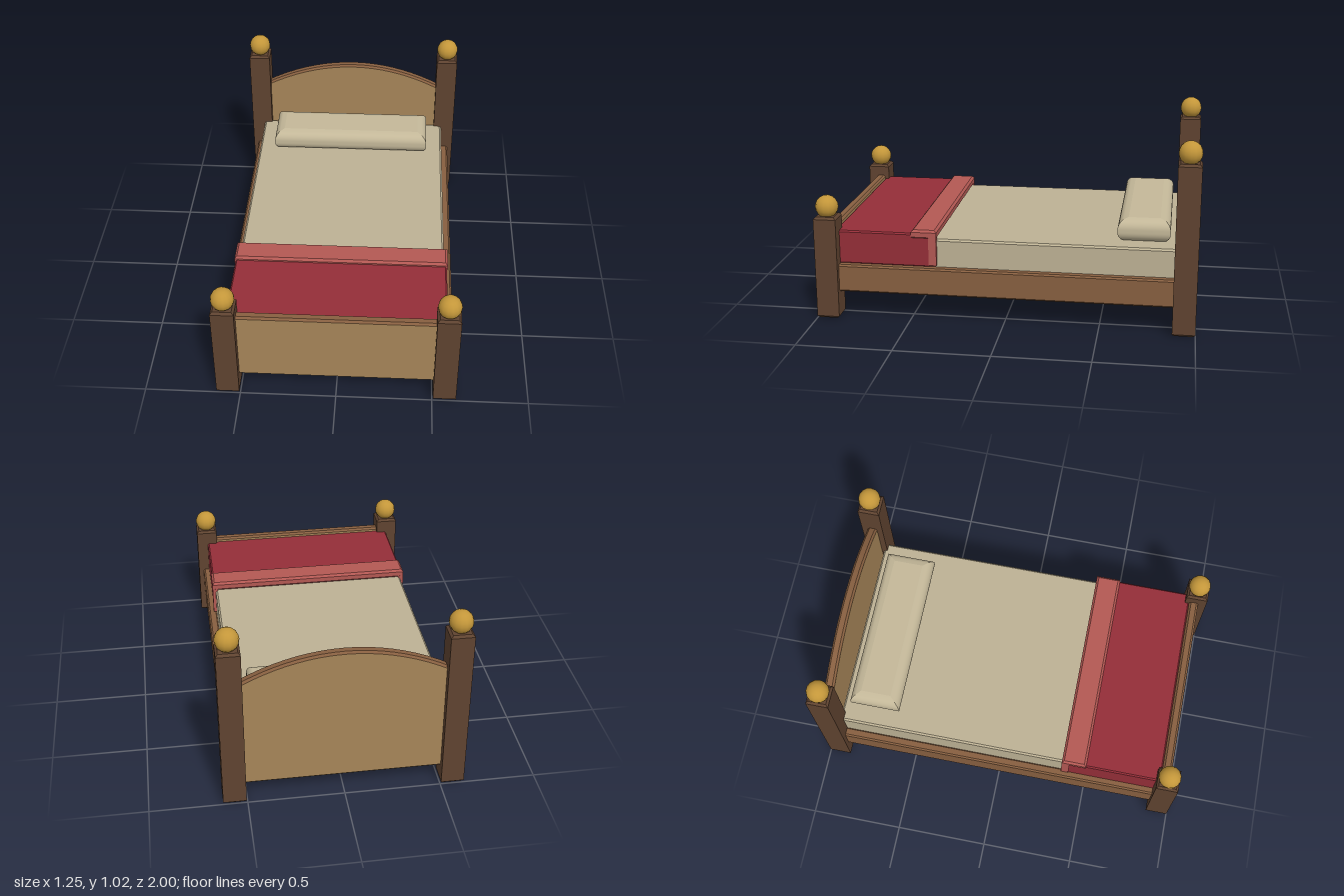
import * as THREE from 'three';

const mat = (name, color) => {
  const m = new THREE.MeshStandardMaterial({ color });
  m.name = name;
  return m;
};

export function createModel() {
  const darkWood = mat('dark wood', 0x5f4330);
  const trimWood = mat('trim wood', 0x875f40);
  const panelWood = mat('panel wood', 0xa68558);
  const brass = mat('brass', 0xc4973a);
  const linen = mat('linen', 0xbdb194);
  const pillowCloth = mat('pillow cloth', 0xc4b899);
  const red = mat('red blanket', 0x942e38);
  const lightRed = mat('light red fold', 0xb35853);

  const bed = new THREE.Group();
  bed.name = 'bed';
  const add = (name, geometry, material, x = 0, y = 0, z = 0) => {
    const mesh = new THREE.Mesh(geometry, material);
    mesh.name = name;
    mesh.position.set(x, y, z);
    bed.add(mesh);
    return mesh;
  };

  // Extrusion along z, centred, with a one-step chamfer kept inside the outline
  const chamfered = (shape, depth, b) =>
    new THREE.ExtrudeGeometry(shape, {
      depth: depth - 2 * b, bevelEnabled: true, bevelThickness: b, bevelSize: b,
      bevelOffset: -b, bevelSegments: 1, curveSegments: 18,
    }).translate(0, 0, b - depth / 2);

  const rect = (w, h) => new THREE.Shape([
    new THREE.Vector2(-w / 2, -h / 2), new THREE.Vector2(w / 2, -h / 2),
    new THREE.Vector2(w / 2, h / 2), new THREE.Vector2(-w / 2, h / 2),
  ]);

  // Block with chamfered top and bottom rims
  const block = (w, h, d, b) => chamfered(rect(w, d), h, b).rotateX(-Math.PI / 2);

  // Corner posts with ball finials
  for (const side of [1, -1]) {
    for (const [end, z, h, ballY] of [['head', -0.94, 0.912, 0.96], ['foot', 0.94, 0.56, 0.606]]) {
      add(end + 'Post', block(0.12, h, 0.12, 0.012), darkWood, side * 0.565, h / 2, z);
      add(end + 'Finial', new THREE.SphereGeometry(0.061, 14, 10), brass, side * 0.565, ballY, z);
    }
    // Side rails
    add('sideRail', block(0.05, 0.15, 1.78, 0.009), trimWood, side * 0.572, 0.22, 0);
  }

  // Arched headboard and straight footboard, with trim on the edges
  const board = (edgeY, controlY) => {
    const s = new THREE.Shape();
    s.moveTo(-0.53, 0.092);
    s.lineTo(0.53, 0.092);
    s.lineTo(0.53, edgeY);
    if (controlY) s.quadraticCurveTo(0, controlY, -0.53, edgeY);
    else s.lineTo(-0.53, edgeY);
    return chamfered(s, 0.052, 0.011);
  };
  add('headboard', board(0.706, 0.992), [panelWood, trimWood], 0, 0, -0.938);
  add('footboard', board(0.495), [panelWood, trimWood], 0, 0, 0.929);

  // Mattress
  add('mattress', block(1.1, 0.255, 1.8, 0.01), linen, 0, 0.3175, 0);

  // Pillow: a box whose sides curve inward towards top and bottom
  const pw = 0.91, ph = 0.125, pd = 0.275, r = 0.055;
  const pillow = new THREE.BoxGeometry(pw, ph, pd, 1, 20, 1);
  const p = pillow.attributes.position;
  for (let i = 0; i < p.count; i++) {
    const over = Math.max(0, Math.abs(p.getY(i)) - (ph / 2 - r));
    const inset = r - Math.sqrt(Math.max(0, r * r - over * over));
    p.setX(i, p.getX(i) - Math.sign(p.getX(i)) * inset);
    p.setZ(i, p.getZ(i) - Math.sign(p.getZ(i)) * inset);
  }
  pillow.computeVertexNormals();
  add('pillow', pillow, pillowCloth, 0, 0.5025, -0.7175);

  // Blanket draped over the mattress
  add('blanket', block(1.125, 0.183, 0.535, 0.008), red, 0, 0.3835, 0.6375);

  // Folded-back blanket edge: top band and side drops
  add('blanketFold', block(1.135, 0.05, 0.135, 0.012), lightRed, 0, 0.47, 0.425);
  for (const side of [1, -1]) {
    add('blanketFoldSide', block(0.03, 0.18, 0.042, 0.006), lightRed, side * 0.5525, 0.388, 0.379);
  }

  return bed;
}
